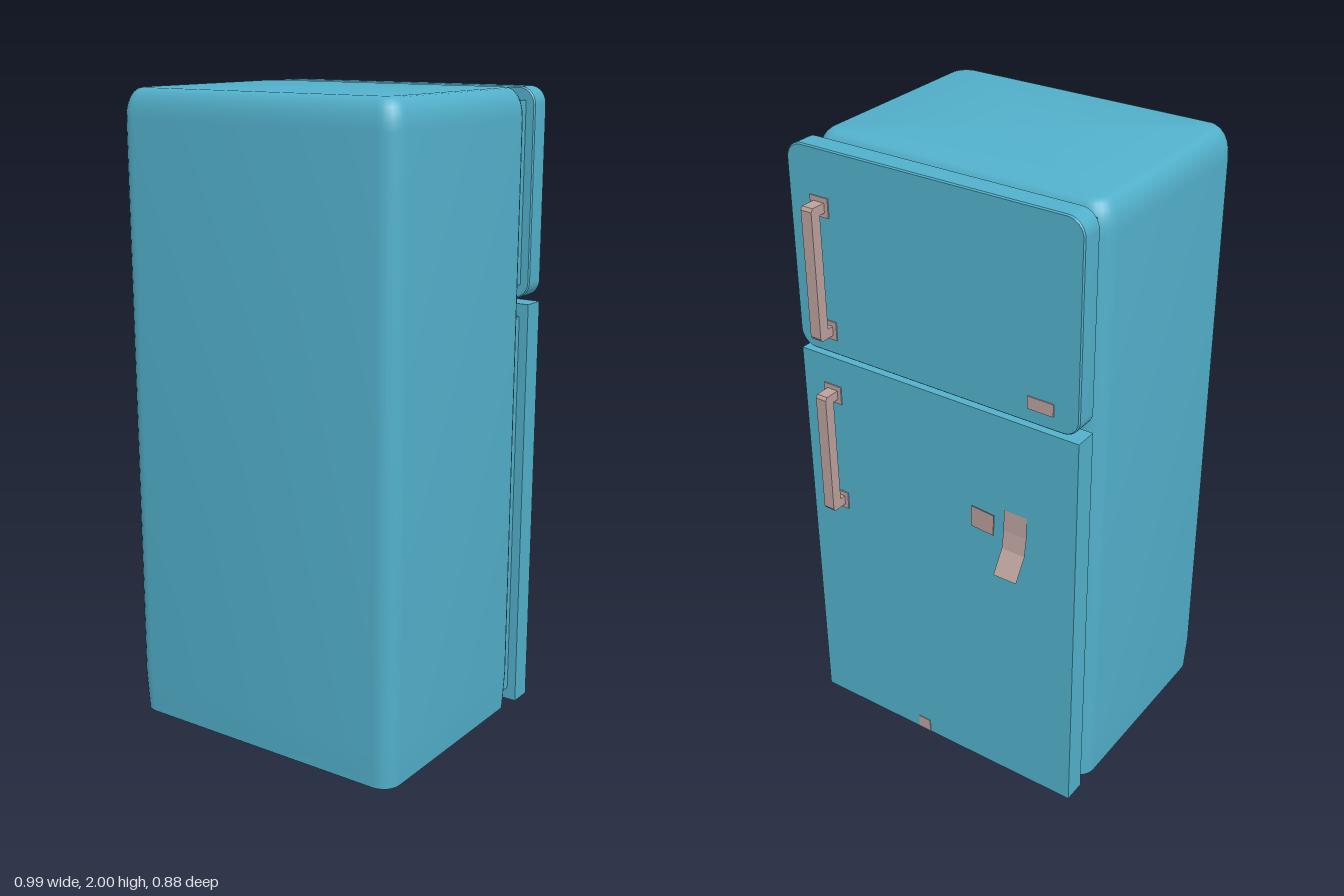
import * as THREE from 'three';
import { toCreasedNormals } from 'three/addons/utils/BufferGeometryUtils.js';

const enamel = new THREE.MeshStandardMaterial({ color: 0x52b0cb });
enamel.name = 'blue enamel';
const trim = new THREE.MeshStandardMaterial({ color: 0xbba19d });
trim.name = 'dusty pink trim';
const sheet = new THREE.MeshStandardMaterial({ color: 0xbba19d, side: THREE.DoubleSide });
sheet.name = 'dusty pink paper';

function add(parent, name, geometry, material, x = 0, y = 0, z = 0) {
  const mesh = new THREE.Mesh(geometry, material);
  mesh.name = name;
  mesh.position.set(x, y, z);
  parent.add(mesh);
  return mesh;
}

// Points around a rounded rectangle in plan
function planRing(halfX, halfZ, radius, steps = 6) {
  const ring = [];
  [[1, 1], [-1, 1], [-1, -1], [1, -1]].forEach(([sx, sz], q) => {
    for (let i = 0; i <= steps; i++) {
      const a = (q + i / steps) * Math.PI / 2;
      ring.push([sx * (halfX - radius) + Math.cos(a) * radius, sz * (halfZ - radius) + Math.sin(a) * radius]);
    }
  });
  return ring;
}

// Cabinet shell: stacked plan rings, rolled in at the top, flat below
function cabinetGeometry() {
  const levels = [[0, 0.006], [0.04, 0.004], [0.12, 0]];
  for (let i = 0; i <= 6; i++) {
    const a = i / 6 * Math.PI / 2;
    levels.push([1.91 + 0.09 * Math.sin(a), 0.045 * (1 - Math.cos(a))]);
  }
  const positions = [], index = [];
  let n = 0;
  for (const [y, inset] of levels) {
    const ring = planRing(0.4925 - inset, 0.365 - inset * 0.85, 0.06 - inset * 0.4);
    n = ring.length;
    for (const [x, z] of ring) positions.push(x, y, z);
  }
  const top = (levels.length - 1) * n, centre = levels.length * n;
  positions.push(0, 0, 0, 0, 2, 0);
  for (let j = 0; j < n; j++) {
    const k = (j + 1) % n;
    for (let i = 0; i < levels.length - 1; i++) {
      const a = i * n, b = a + n;
      index.push(a + j, b + j, a + k, a + k, b + j, b + k);
    }
    index.push(centre, j, k, centre + 1, top + k, top + j);
  }
  const g = new THREE.BufferGeometry();
  g.setAttribute('position', new THREE.Float32BufferAttribute(positions, 3));
  g.setIndex(index);
  return toCreasedNormals(g, 0.6);
}

// Door slab with rounded corners and a fine edge bevel
function doorGeometry(width, height, depth, radius) {
  const b = 0.004, w = width / 2 - b, h = height / 2 - b, r = radius;
  const s = new THREE.Shape();
  s.moveTo(-w + r, -h);
  s.lineTo(w - r, -h);
  s.absarc(w - r, -h + r, r, -Math.PI / 2, 0);
  s.absarc(w - r, h - r, r, 0, Math.PI / 2);
  s.absarc(-w + r, h - r, r, Math.PI / 2, Math.PI);
  s.absarc(-w + r, -h + r, r, Math.PI, Math.PI * 1.5);
  const g = new THREE.ExtrudeGeometry(s, {
    depth: depth - 2 * b, bevelThickness: b, bevelSize: b, bevelSegments: 1, curveSegments: 6,
  });
  g.translate(0, 0, b - depth / 2);
  return toCreasedNormals(g, 0.6);
}

// U-shaped pull handle with two mounting plates
function makeHandle(name, bottom, top) {
  const handle = new THREE.Group();
  handle.name = name;
  const profile = [
    [0, bottom], [0.053, bottom], [0.06, bottom + 0.01], [0.06, top - 0.01], [0.053, top], [0, top],
    [0, top - 0.03], [0.025, top - 0.03], [0.025, bottom + 0.03], [0, bottom + 0.03],
  ].map(([x, y]) => new THREE.Vector2(x, y));
  const grip = new THREE.ExtrudeGeometry(new THREE.Shape(profile), { depth: 0.038, bevelEnabled: false });
  grip.rotateY(Math.PI / 2);
  add(handle, 'grip', grip, trim, 0.365, 0, -0.382);
  for (const y of [bottom + 0.015, top - 0.015]) {
    add(handle, 'mountingPlate', new THREE.BoxGeometry(0.064, 0.06, 0.006), trim, 0.384, y, -0.384);
  }
  return handle;
}

// Strip of paper following a side profile of [y, z] points
function paperGeometry(x0, x1, profile) {
  const g = new THREE.PlaneGeometry(1, 1, 1, profile.length - 1);
  const p = g.attributes.position;
  profile.forEach(([y, z], i) => {
    p.setXYZ(i * 2, x0, y, z);
    p.setXYZ(i * 2 + 1, x1, y, z);
  });
  const flat = g.toNonIndexed();
  flat.computeVertexNormals();
  return flat;
}

export function createModel() {
  const fridge = new THREE.Group();
  fridge.name = 'refrigerator';

  add(fridge, 'cabinet', cabinetGeometry(), enamel, -0.0025, 0, 0.075);

  // Doors and the recessed seals behind them
  add(fridge, 'freezerSeal', new THREE.BoxGeometry(0.925, 0.56, 0.06), enamel, 0.0025, 1.68, -0.285);
  add(fridge, 'fridgeSeal', new THREE.BoxGeometry(0.925, 1.26, 0.06), enamel, 0.0025, 0.67, -0.285);
  add(fridge, 'freezerDoor', doorGeometry(0.985, 0.645, 0.073, 0.05), enamel, 0.0025, 1.6775, -0.3465);
  add(fridge, 'fridgeDoor', new THREE.BoxGeometry(0.985, 1.34, 0.073), enamel, 0.0025, 0.67, -0.3465);

  fridge.add(makeHandle('freezerHandle', 1.42, 1.84), makeHandle('fridgeHandle', 0.815, 1.23));

  // Small plates and notes on the doors
  add(fridge, 'freezerPlate', new THREE.BoxGeometry(0.085, 0.04, 0.004), trim, -0.365, 1.42, -0.384);
  add(fridge, 'kickPlate', new THREE.BoxGeometry(0.045, 0.045, 0.004), trim, 0.08, 0.026, -0.384);
  const note = add(fridge, 'smallNote', new THREE.BoxGeometry(0.08, 0.075, 0.003), trim, -0.17, 0.965, -0.389);
  note.rotation.set(-0.05, 0, 0.08);
  add(fridge, 'curledNote', paperGeometry(-0.325, -0.245,
    [[1.03, -0.386], [0.96, -0.388], [0.9, -0.398], [0.83, -0.442]]), sheet);

  return fridge;
}
